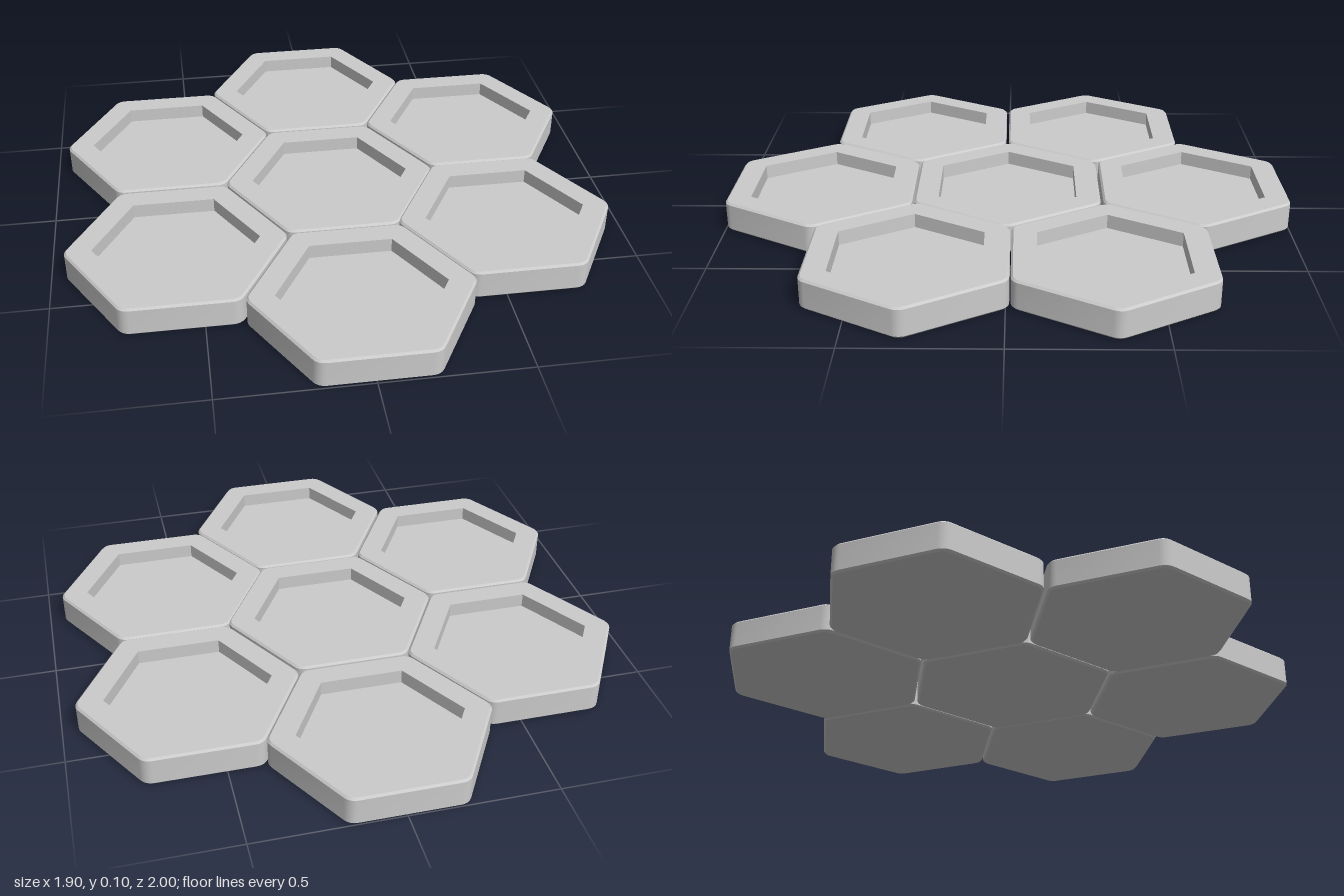
import * as THREE from 'three';
import { toCreasedNormals } from 'three/addons/utils/BufferGeometryUtils.js';

const HEIGHT = 0.105, FLOOR = 0.055, BEVEL = 0.007;
const APOTHEM = 0.33, POCKET = 0.245, CORNER = 0.045;
const STEPS = 4; // segments per rounded corner

// Flat-sided hexagon outline with rounded corners at height y
function hexRing(apothem, radius, y) {
  const points = [];
  const reach = (apothem - radius) / Math.cos(Math.PI / 6);
  for (let c = 0; c < 6; c++) {
    const corner = c * Math.PI / 3;
    for (let s = 0; s <= STEPS; s++) {
      const a = corner + (s / STEPS - 0.5) * Math.PI / 3;
      points.push(new THREE.Vector3(
        reach * Math.cos(corner) + radius * Math.cos(a), y,
        reach * Math.sin(corner) + radius * Math.sin(a)));
    }
  }
  return points;
}

// Skin consecutive rings, leaving out triangles that collapse
function loft(rings) {
  const pos = [];
  const tri = (a, b, c) => {
    if (a.distanceTo(b) < 1e-6 || b.distanceTo(c) < 1e-6 || c.distanceTo(a) < 1e-6) return;
    for (const p of [a, b, c]) pos.push(p.x, p.y, p.z);
  };
  for (let i = 0; i < rings.length - 1; i++) {
    const lo = rings[i], up = rings[i + 1], n = lo.length;
    for (let j = 0; j < n; j++) {
      const k = (j + 1) % n;
      tri(lo[j], up[j], lo[k]);
      tri(lo[k], up[j], up[k]);
    }
  }
  const geometry = new THREE.BufferGeometry();
  geometry.setAttribute('position', new THREE.Float32BufferAttribute(pos, 3));
  return toCreasedNormals(geometry, 0.5);
}

export function createModel() {
  const group = new THREE.Group();
  group.name = 'hexagonTray';
  const material = new THREE.MeshStandardMaterial({ color: 0xcccccc });

  // Underside, bevelled wall, rim, pocket wall and pocket floor
  const tile = loft([
    hexRing(0, 0, 0),
    hexRing(APOTHEM - BEVEL, CORNER - BEVEL, 0),
    hexRing(APOTHEM, CORNER, BEVEL),
    hexRing(APOTHEM, CORNER, HEIGHT - BEVEL),
    hexRing(APOTHEM - BEVEL, CORNER - BEVEL, HEIGHT),
    hexRing(POCKET, 0, HEIGHT),
    hexRing(POCKET, 0, FLOOR),
    hexRing(0, 0, FLOOR),
  ]);

  // Slightly uneven honeycomb layout: name, x, z
  const layout = [
    ['centreTile', -0.002, 0],
    ['backTile', -0.006, -0.67],
    ['backLeftTile', 0.571, -0.346],
    ['frontLeftTile', 0.571, 0.318],
    ['frontTile', 0.008, 0.667],
    ['frontRightTile', -0.574, 0.342],
    ['backRightTile', -0.577, -0.329],
  ];
  for (const [name, x, z] of layout) {
    const mesh = new THREE.Mesh(tile, material);
    mesh.name = name;
    mesh.position.set(x, 0, z);
    group.add(mesh);
  }
  return group;
}
